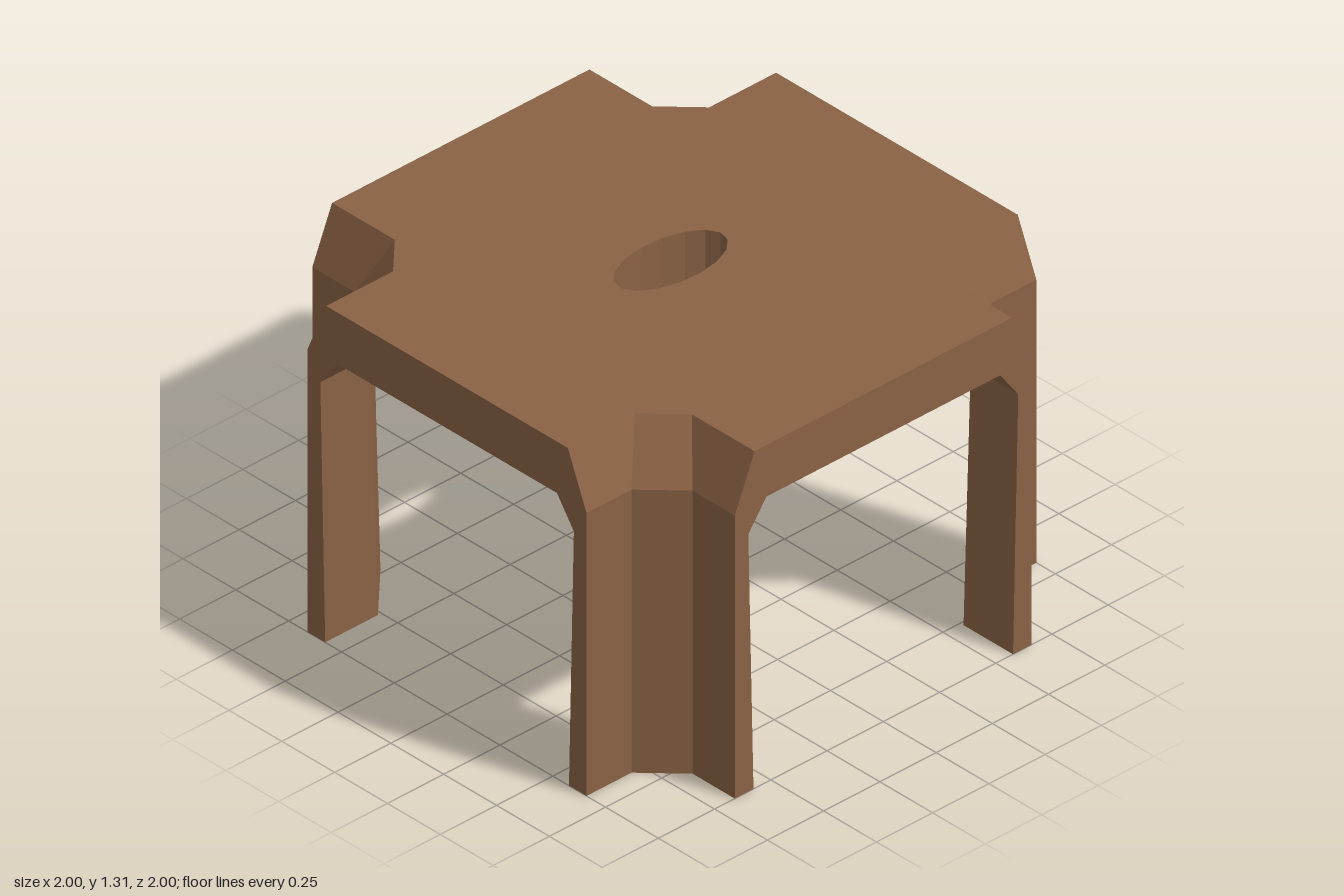
import * as THREE from 'three';

const CEILING = 1.11, TOP = 1.31, BEND = 1.1;

// Flat-faced solid skinned through closed rings; each level is { y, pts: [[x, z], ...] }
function loft(levels, caps, out) {
  const at = (level, i) => {
    const [x, z] = level.pts[i % level.pts.length];
    return [x, level.y, z];
  };
  for (let k = 0; k + 1 < levels.length; k++) {
    const lo = levels[k], hi = levels[k + 1];
    for (let i = 0; i < lo.pts.length; i++) {
      const a = at(lo, i), b = at(lo, i + 1), c = at(hi, i + 1), d = at(hi, i);
      out.push(...a, ...d, ...c, ...a, ...c, ...b);
    }
  }
  caps.forEach(({ level, up, hole }) => {
    const toVec = ([x, z]) => new THREE.Vector2(x, z);
    const all = hole ? [...level.pts, ...hole] : level.pts;
    const tris = THREE.ShapeUtils.triangulateShape(level.pts.map(toVec), hole ? [hole.map(toVec)] : []);
    for (const t of tris) {
      for (const i of up ? [t[0], t[2], t[1]] : t) out.push(all[i][0], level.y, all[i][1]);
    }
  });
}

function toGeometry(positions) {
  const g = new THREE.BufferGeometry();
  g.setAttribute('position', new THREE.Float32BufferAttribute(positions, 3));
  g.computeVertexNormals();
  return g;
}

// Outer edge of one notched corner: vertical up to the bend, then leaning inwards
function cornerEdge(y) {
  const t = Math.max(0, (y - BEND) / (TOP - BEND));
  const p = 0.66 - 0.088 * t, q = 0.8 - 0.097 * t;
  return [[1, p], [q, p], [p, q], [p, 1]];
}

// Leg cross-section: the notch edge plus a parallel inner edge at x = z = inner
function legLevel(y, inner) {
  const q = 0.8 - 0.414 * (0.66 - inner);
  return { y, pts: [...cornerEdge(y), [inner, 1], [inner, q], [q, inner], [1, inner]] };
}

// Cross-shaped outline made of four notched corners
function slabLevel(y) {
  const pts = [];
  let corner = cornerEdge(y);
  for (let i = 0; i < 4; i++) {
    pts.push(...corner);
    corner = corner.map(([x, z]) => [-z, x]);
  }
  return { y, pts };
}

export function createModel() {
  const group = new THREE.Group();
  group.name = 'stool';
  const brown = new THREE.MeshStandardMaterial({ color: 0x8a6245 });
  brown.name = 'brown';

  // Seat slab with an oval hand hole
  const hole = [];
  for (let i = 0; i < 16; i++) {
    const a = -(i + 0.2) / 16 * Math.PI * 2;
    hole.push([-0.003 + 0.23 * Math.cos(a), -0.003 + 0.12 * Math.sin(a)]);
  }
  const bottom = slabLevel(CEILING), top = slabLevel(TOP), seat = [];
  loft([bottom, top], [{ level: bottom, up: false, hole }, { level: top, up: true, hole }], seat);
  loft([{ y: CEILING, pts: hole }, { y: TOP, pts: hole }], [], seat);
  const seatMesh = new THREE.Mesh(toGeometry(seat), brown);
  seatMesh.name = 'seat';
  group.add(seatMesh);

  // Four folded legs, thinning upwards and flaring out under the seat
  const levels = [legLevel(0, 0.577), legLevel(1, 0.6), legLevel(BEND, 0.527), legLevel(CEILING, 0.52)];
  const leg = [];
  loft(levels, [{ level: levels[0], up: false }], leg);
  const legGeometry = toGeometry(leg);
  ['frontLeftLeg', 'backLeftLeg', 'backRightLeg', 'frontRightLeg'].forEach((name, i) => {
    const mesh = new THREE.Mesh(legGeometry, brown);
    mesh.name = name;
    mesh.rotation.y = i * Math.PI / 2;
    group.add(mesh);
  });

  return group;
}
